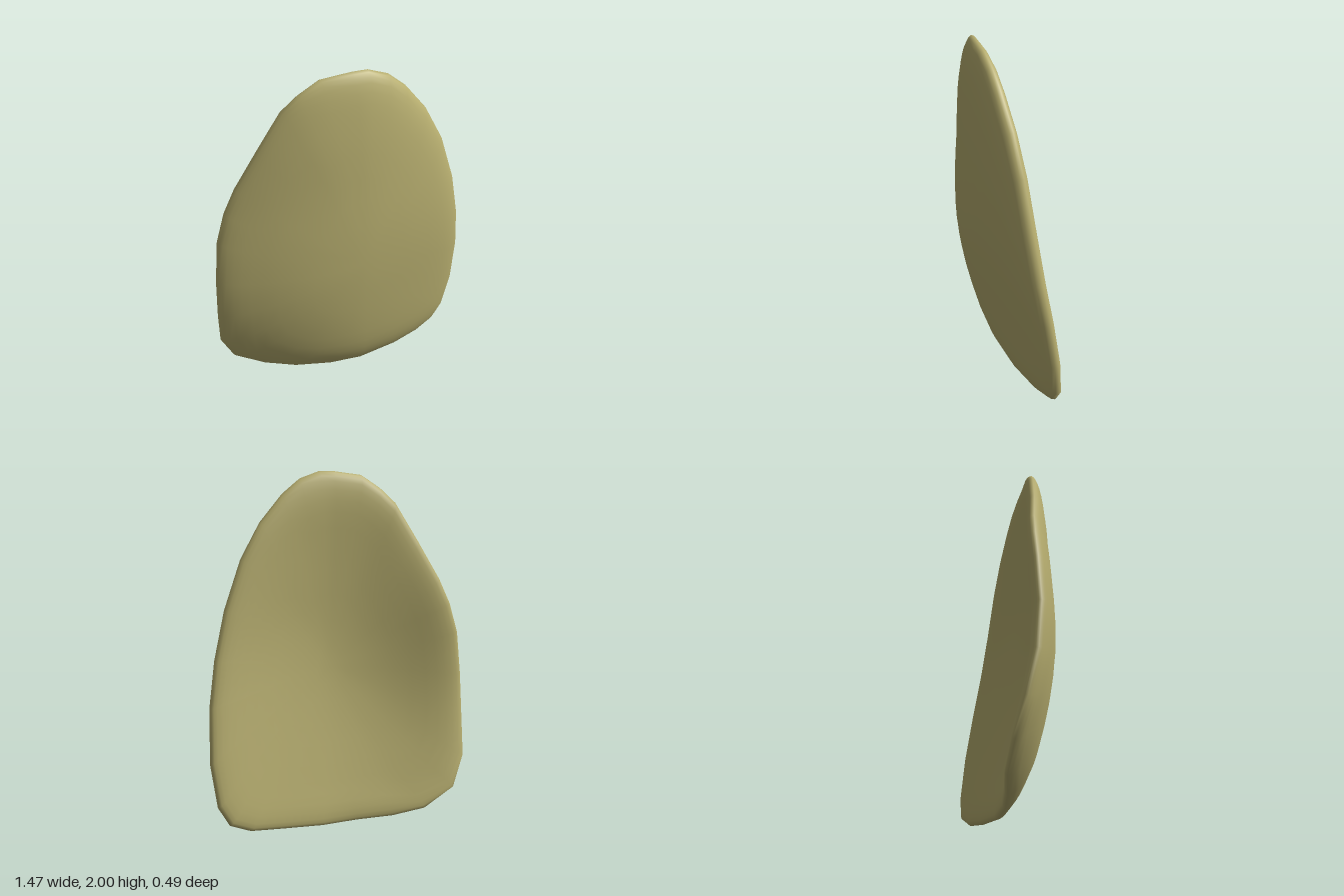
import * as THREE from 'three';

// Outline of the plate, counter-clockwise from the top
const OUTLINE = [
  [-0.03, 2], [-0.18, 1.98], [-0.28, 1.91], [-0.36, 1.83], [-0.48, 1.62], [-0.59, 1.41],
  [-0.65, 1.27], [-0.7, 1.1], [-0.73, 0.85], [-0.735, 0.6], [-0.72, 0.37], [-0.64, 0.19],
  [-0.47, 0.075], [-0.3, 0.03], [-0.1, 0.012], [0.1, 0], [0.35, 0.02], [0.53, 0.045],
  [0.65, 0.1], [0.71, 0.21], [0.735, 0.45], [0.715, 0.75], [0.67, 1], [0.6, 1.27],
  [0.5, 1.54], [0.39, 1.73], [0.26, 1.88], [0.16, 1.96], [0.05, 2],
];

// Smooth one-dimensional curve through [position, value] pairs
function smoothCurve(pairs) {
  const curve = new THREE.CubicInterpolant(pairs.map((p) => p[0]), pairs.map((p) => p[1]), 1);
  return (t) => curve.evaluate(t)[0];
}

// Sideways bend of the front face, its fall toward bottom and top, and the twist of the right half
const bend = smoothCurve([[-0.75, -0.09], [-0.6, -0.01], [-0.4, 0.1], [-0.2, 0.18], [0, 0.225],
  [0.2, 0.24], [0.4, 0.235], [0.6, 0.215], [0.75, 0.19]]);
const fall = smoothCurve([[0, 0.17], [0.05, 0.15], [0.2, 0.11], [0.4, 0.077], [0.6, 0.05],
  [0.85, 0.02], [1.15, 0], [1.4, 0.005], [1.6, 0.013], [1.8, 0.027], [2, 0.037]]);
const twist = smoothCurve([[0, -0.08], [0.08, -0.07], [0.2, -0.03], [0.4, 0.012], [0.6, 0.033],
  [0.8, 0.028], [1, 0.003], [1.2, -0.022], [1.4, -0.032], [1.6, -0.032], [2, -0.03]]);

const HALF_THICKNESS = 0.065;
const SEGMENTS = OUTLINE.length;
const RINGS = [0.12, 0.25, 0.38, 0.5, 0.62, 0.72, 0.8, 0.86, 0.91, 0.95, 0.975, 0.992];

function createPlateGeometry() {
  const rim = OUTLINE.map(([x, y]) => new THREE.Vector3(x, y, 0));
  const centre = new THREE.Vector3(0, 0.92, 0);
  const positions = [];
  const index = [];

  // One point at scale s of the outline, on the front (+1) or back (-1) face
  const addPoint = (i, s, side) => {
    const p = centre.clone().lerp(rim[i], s);
    const offset = side * HALF_THICKNESS * Math.sqrt(1 - s ** 8);
    const turn = twist(p.y) * THREE.MathUtils.smoothstep(-p.x, -0.35, 0.75);
    positions.push(p.x, p.y, bend(p.x) - fall(p.y) + turn - HALF_THICKNESS + offset);
  };

  // Rings run from the front centre over the rounded rim to the back centre
  const rings = [
    ...RINGS.map((s) => [s, 1]), [1, 0], ...[...RINGS].reverse().map((s) => [s, -1]),
  ];
  addPoint(0, 0, 1);
  for (const [s, side] of rings) {
    for (let i = 0; i < SEGMENTS; i++) addPoint(i, s, side);
  }
  addPoint(0, 0, -1);

  const at = (ring, i) => 1 + ring * SEGMENTS + (i % SEGMENTS);
  const last = rings.length - 1;
  const backCentre = 1 + rings.length * SEGMENTS;
  for (let i = 0; i < SEGMENTS; i++) {
    index.push(0, at(0, i), at(0, i + 1));
    for (let r = 0; r < last; r++) {
      index.push(at(r, i), at(r + 1, i), at(r + 1, i + 1));
      index.push(at(r, i), at(r + 1, i + 1), at(r, i + 1));
    }
    index.push(at(last, i), backCentre, at(last, i + 1));
  }

  const geometry = new THREE.BufferGeometry();
  geometry.setAttribute('position', new THREE.Float32BufferAttribute(positions, 3));
  geometry.setIndex(index);
  geometry.computeVertexNormals();
  return geometry;
}

export function createModel() {
  const group = new THREE.Group();
  group.name = 'curvedPlate';
  const plate = new THREE.Mesh(
    createPlateGeometry(), new THREE.MeshStandardMaterial({ color: 0xb8af70 }));
  plate.name = 'plate';
  group.add(plate);
  return group;
}
